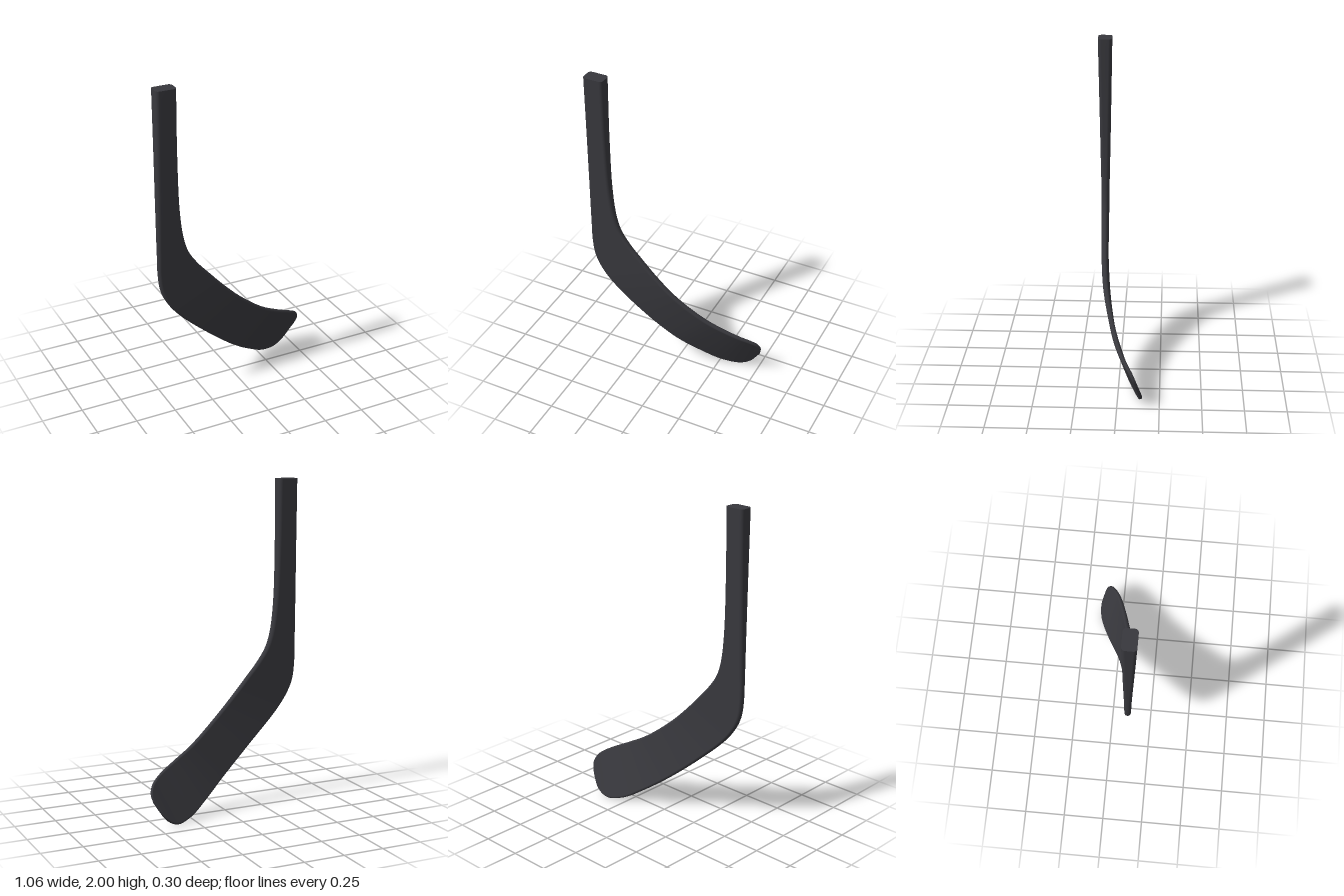
import * as THREE from 'three';

// Stations from shaft top to blade toe:
// outer (heel/lower) edge xyz, inner (upper) edge xyz, thickness
const STATIONS = [
  [-0.525, 2.0, 0.109, -0.4, 2.0, 0.109, 0.084],
  [-0.526, 1.6, 0.109, -0.398, 1.6, 0.109, 0.069],
  [-0.528, 1.27, 0.109, -0.386, 1.25, 0.109, 0.055],
  [-0.529, 1.0, 0.11, -0.362, 1.07, 0.109, 0.044],
  [-0.527, 0.85, 0.11, -0.33, 0.97, 0.109, 0.04],
  [-0.513, 0.75, 0.11, -0.27, 0.88, 0.108, 0.038],
  [-0.475, 0.665, 0.11, -0.2, 0.8, 0.105, 0.037],
  [-0.4, 0.565, 0.106, -0.1, 0.69, 0.1, 0.036],
  [-0.2, 0.375, 0.08, 0.03, 0.563, 0.085, 0.034],
  [0.0, 0.205, 0.03, 0.2, 0.428, 0.045, 0.031],
  [0.15, 0.095, -0.038, 0.32, 0.36, 0.013, 0.028],
  [0.26, 0.028, -0.09, 0.42, 0.308, -0.022, 0.025],
  [0.36, 0.003, -0.13, 0.475, 0.275, -0.052, 0.023],
  [0.41, 0.018, -0.14, 0.51, 0.243, -0.078, 0.021],
  [0.45, 0.05, -0.141, 0.525, 0.2, -0.1, 0.019],
  [0.485, 0.1, -0.131, 0.517, 0.155, -0.115, 0.014],
];
const RINGS = 120;
const CORNER = 6;

const edgeCurve = (k) =>
  new THREE.CatmullRomCurve3(STATIONS.map((s) => new THREE.Vector3(s[k], s[k + 1], s[k + 2])));

// Rounded rectangle spanning 0..w along the width, centred across the thickness
function section(w, t) {
  const r = Math.min(0.02 + 0.0001, t * 0.46, w * 0.45);
  const centres = [[w - r, t / 2 - r], [r, t / 2 - r], [r, r - t / 2], [w - r, r - t / 2]];
  const pts = [];
  centres.forEach(([u, v], q) => {
    for (let i = 0; i <= CORNER; i++) {
      const a = (q + i / CORNER) * Math.PI / 2;
      pts.push([u + r * Math.cos(a), v + r * Math.sin(a)]);
    }
  });
  return pts;
}

function loftGeometry() {
  const outer = edgeCurve(0), inner = edgeCurve(3);
  const mid = (t) => outer.getPoint(t).add(inner.getPoint(t)).multiplyScalar(0.5);
  const rings = [];
  for (let i = 0; i <= RINGS; i++) {
    const t = i / RINGS;
    const o = outer.getPoint(t);
    const across = inner.getPoint(t).sub(o);
    const width = across.length();
    across.normalize();
    const along = mid(Math.min(1, t + 0.01)).sub(mid(Math.max(0, t - 0.01)));
    const normal = along.cross(across).normalize();
    const f = t * (STATIONS.length - 1);
    const k = Math.min(Math.floor(f), STATIONS.length - 2);
    const thick = THREE.MathUtils.lerp(STATIONS[k][6], STATIONS[k + 1][6], f - k);
    rings.push(section(width, thick).map(([u, v]) =>
      o.clone().addScaledVector(across, u).addScaledVector(normal, v)));
  }

  const pos = [], index = [];
  const add = (p) => pos.push(p.x, p.y, p.z) / 3 - 1;
  const n = rings[0].length;
  rings.forEach((ring) => ring.forEach(add));
  for (let i = 0; i < RINGS; i++) {
    for (let j = 0; j < n; j++) {
      const a = i * n + j, b = i * n + (j + 1) % n;
      index.push(a, b, b + n, a, b + n, a + n);
    }
  }
  // Flat end caps with their own vertices
  const cap = (ring, flip) => {
    const c = ring.reduce((s, p) => s.add(p), new THREE.Vector3()).divideScalar(n);
    const centre = add(c);
    ring.forEach(add);
    for (let j = 0; j < n; j++) {
      const a = centre + 1 + j, b = centre + 1 + (j + 1) % n;
      if (flip) index.push(centre, b, a);
      else index.push(centre, a, b);
    }
  };
  cap(rings[0], true);
  cap(rings[RINGS], false);

  const geo = new THREE.BufferGeometry();
  geo.setAttribute('position', new THREE.Float32BufferAttribute(pos, 3));
  geo.setIndex(index);
  geo.computeVertexNormals();
  return geo;
}

export function createModel() {
  const group = new THREE.Group();
  group.name = 'hockeyStickBlade';
  // Shaft and curved blade are one continuous piece
  const mesh = new THREE.Mesh(loftGeometry(), new THREE.MeshStandardMaterial({ color: 0x38383d }));
  mesh.name = 'shaftAndBlade';
  group.add(mesh);
  return group;
}
